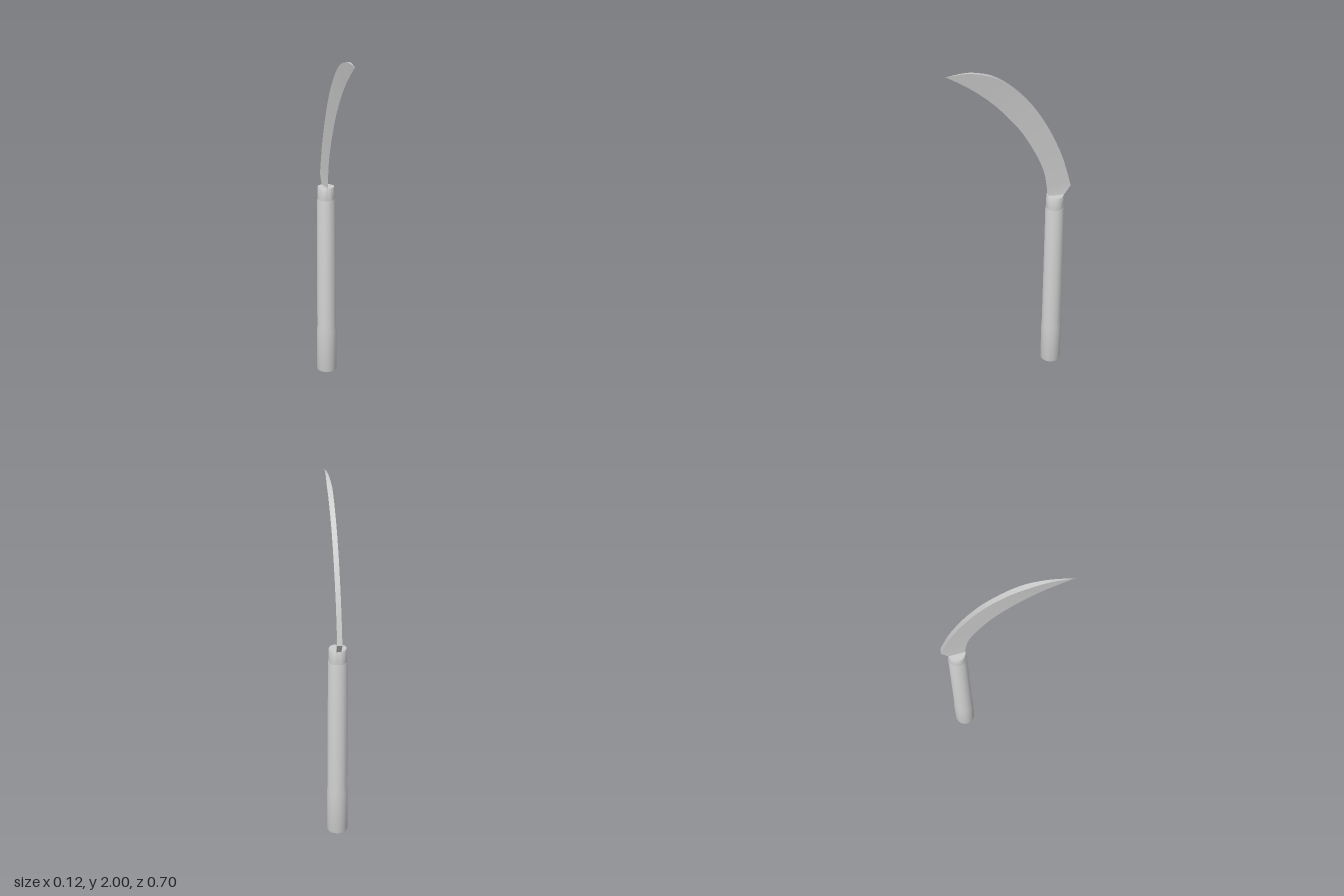
import * as THREE from 'three';
import { toCreasedNormals } from 'three/addons/utils/BufferGeometryUtils.js';

const grey = () => new THREE.MeshStandardMaterial({ color: 0xcccccc });
const points = (list) => list.map(([a, b]) => new THREE.Vector2(a, b));

// Turned part whose axis leans slightly backwards as it rises
function turned(name, profile) {
  const geo = new THREE.LatheGeometry(points(profile), 32);
  const pos = geo.attributes.position;
  for (let i = 0; i < pos.count; i++) pos.setZ(i, pos.getZ(i) - 0.258 - 0.004 * pos.getY(i));
  const mesh = new THREE.Mesh(toCreasedNormals(geo, 0.6), grey());
  mesh.name = name;
  return mesh;
}

// Curved wedge: wide spine on the outside, sharp edge on the inside
function makeBlade() {
  // Both outlines are (z, y), from the base to the tip
  const spine = new THREE.SplineCurve(points([
    [-0.35, 1.235], [-0.325, 1.33], [-0.283, 1.46], [-0.205, 1.63], [-0.11, 1.78],
    [0, 1.895], [0.1, 1.963], [0.2, 1.995], [0.26, 2.0], [0.35, 1.994],
  ]));
  const edge = new THREE.SplineCurve(points([
    [-0.212, 1.235], [-0.196, 1.33], [-0.155, 1.44], [-0.075, 1.59], [0, 1.693],
    [0.08, 1.785], [0.16, 1.86], [0.25, 1.93], [0.35, 1.994],
  ]));
  const steps = 40;
  const outer = spine.getSpacedPoints(steps);
  const inner = edge.getSpacedPoints(steps);
  // Slanted foot that meets the handle
  outer.unshift(new THREE.Vector2(-0.31, 1.178));
  inner.unshift(new THREE.Vector2(-0.218, 1.178));

  const verts = [];
  const faces = [2, 1, 0];
  outer.forEach((o, i) => {
    const w = 0.014 * Math.min(1, (0.35 - o.x) / 0.24);
    verts.push(w, o.y, o.x, -w, o.y, o.x, 0, inner[i].y, inner[i].x);
    if (i === 0) return;
    for (let k = 0; k < 3; k++) {
      const n = (k + 1) % 3;
      const lo = (i - 1) * 3;
      const hi = i * 3;
      faces.push(lo + k, lo + n, hi + n, lo + k, hi + n, hi + k);
    }
  });
  const geo = new THREE.BufferGeometry();
  geo.setAttribute('position', new THREE.Float32BufferAttribute(verts, 3));
  geo.setIndex(faces);
  const mesh = new THREE.Mesh(toCreasedNormals(geo, 0.15), grey());
  mesh.name = 'blade';
  return mesh;
}

export function createModel() {
  const model = new THREE.Group();
  model.name = 'sickle';
  // Tapered grip with a thicker butt
  model.add(turned('handle', [
    [0, 0], [0.06, 0], [0.061, 0.006], [0.06, 0.27], [0.0575, 0.285],
    [0.0535, 1.095], [0.052, 1.1], [0, 1.1],
  ]));
  // Narrower collar holding the blade
  model.add(turned('collar', [[0.0515, 1.09], [0.051, 1.12], [0.049, 1.178], [0.048, 1.18], [0, 1.18]]));
  model.add(makeBlade());
  return model;
}
